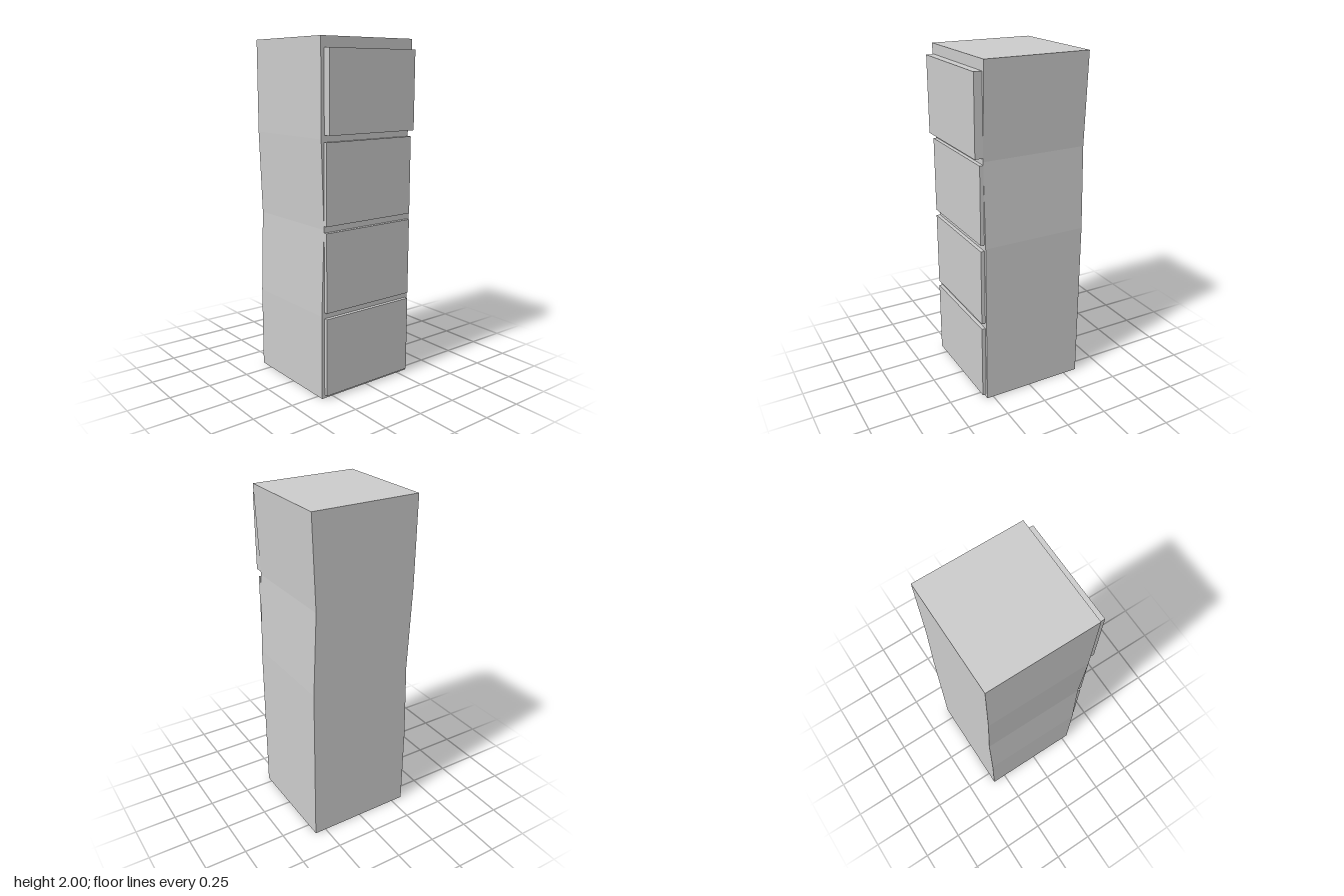
import * as THREE from 'three';

const material = new THREE.MeshStandardMaterial({ color: 0xcccccc, flatShading: true });

// Cabinet: a slightly crooked front outline, extruded from back to front
function makeCabinet(back, front) {
  const outline = [
    [-0.322, 0], [0.32, 0], [0.32, 0.98], [0.3, 1.47], [0.32, 2],
    [-0.322, 2], [-0.322, 1.47], [-0.305, 0.98], [-0.322, 0.49],
  ];
  const shape = new THREE.Shape(outline.map(([x, y]) => new THREE.Vector2(x, y)));
  const geometry = new THREE.ExtrudeGeometry(shape, { depth: front - back, bevelEnabled: false });
  geometry.translate(0, 0, back);
  const cabinet = new THREE.Mesh(geometry, material);
  cabinet.name = 'cabinetBody';
  return cabinet;
}

// Drawer front: a flat slab standing on the cabinet face
function makeDrawer(name, halfWidth, bottom, top, back, front) {
  const geometry = new THREE.BoxGeometry(halfWidth * 2, top - bottom, front - back);
  const drawer = new THREE.Mesh(geometry, material);
  drawer.position.set(0, (bottom + top) / 2, (back + front) / 2);
  drawer.name = name;
  return drawer;
}

export function createModel() {
  const model = new THREE.Group();
  model.name = 'filingCabinet';
  const face = 0.29;
  model.add(makeCabinet(-0.337, face));

  // Three closed drawers, and the top one pulled out a little
  const drawers = [
    ['bottomDrawer', 0.304, 0.02, 0.475, 0.312],
    ['lowerDrawer', 0.304, 0.51, 0.963, 0.312],
    ['upperDrawer', 0.304, 1.0, 1.453, 0.312],
    ['topDrawer', 0.301, 1.49, 1.94, 0.337],
  ];
  for (const [name, halfWidth, bottom, top, front] of drawers) {
    model.add(makeDrawer(name, halfWidth, bottom, top, face, front));
  }
  return model;
}
